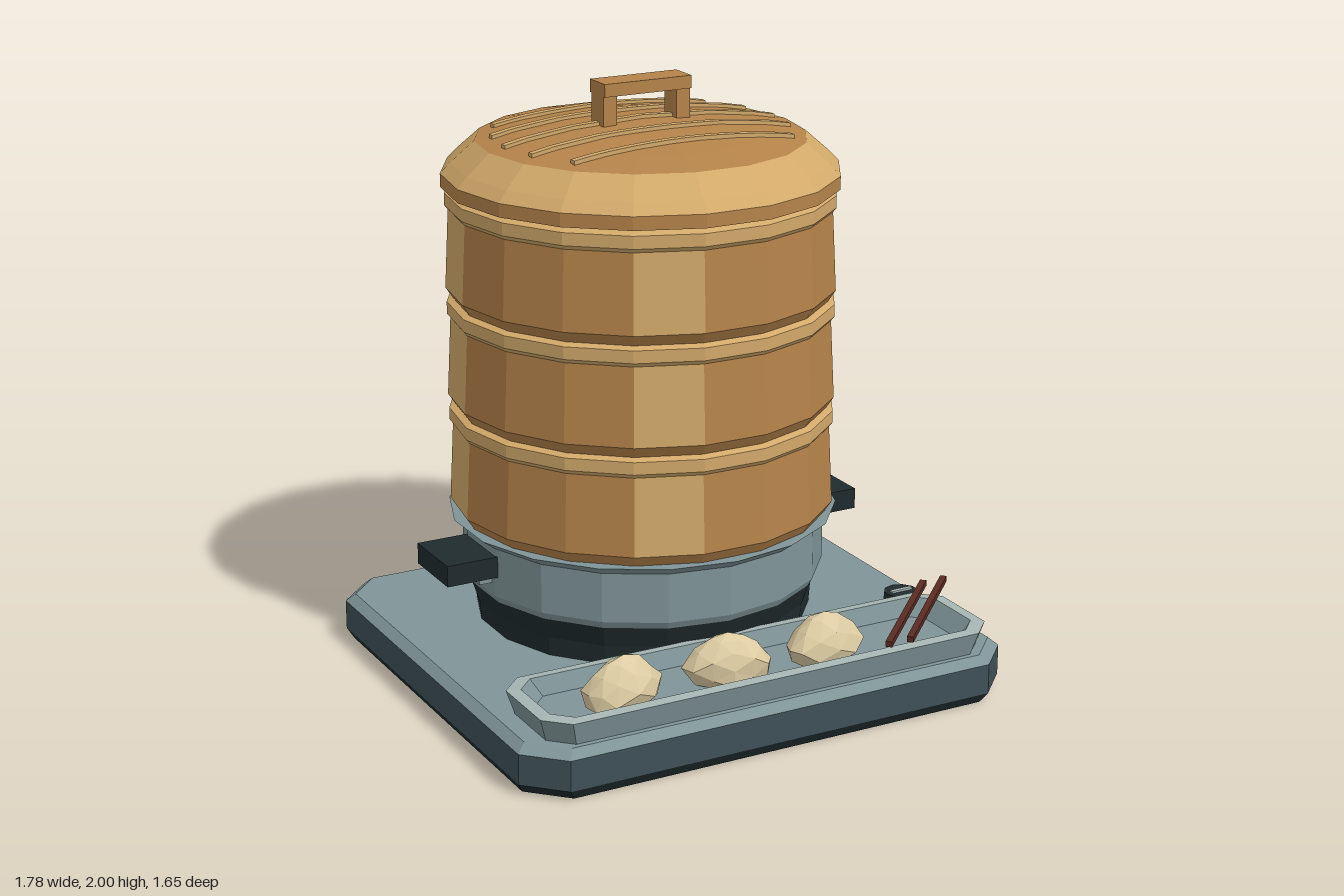
import * as THREE from 'three';
import { mergeGeometries } from 'three/addons/utils/BufferGeometryUtils.js';

const mat = (name, color) => {
  const m = new THREE.MeshStandardMaterial({ color, flatShading: true });
  m.name = name;
  return m;
};

export function createModel() {
  const wood = mat('bamboo', 0xb5834a);
  const paleWood = mat('pale bamboo', 0xd2a96a);
  const steel = mat('steel', 0x7f9497);
  const paleSteel = mat('pale steel', 0xa6b6b2);
  const slate = mat('slate', 0x3e5157);
  const black = mat('black', 0x1f2b2d);
  const dough = mat('dough', 0xdccba2);
  const lacquer = mat('lacquer', 0x5a2a22);

  const model = new THREE.Group();
  model.name = 'steamerSet';
  const steamer = new THREE.Group();
  steamer.name = 'steamer';
  steamer.position.z = -0.17;
  model.add(steamer);

  const add = (parent, name, geometry, material, x = 0, y = 0, z = 0) => {
    const mesh = new THREE.Mesh(geometry, material);
    mesh.name = name;
    mesh.position.set(x, y, z);
    parent.add(mesh);
    return mesh;
  };
  const box = (w, h, d) => new THREE.BoxGeometry(w, h, d);

  // Eighteen-sided turned part; profile of [radius, y] from bottom to top
  const STEP = Math.PI / 9;
  const turned = (profile, start = Math.PI / 2, sides = 18) =>
    new THREE.LatheGeometry(profile.map(p => new THREE.Vector2(...p)), sides, start, sides * STEP);

  // Skin over rectangles with cut corners, rings of [halfX, halfZ, cut, y]
  const loft = (rings, { floor = false, top = false } = {}) => {
    const pos = [], index = [];
    for (const [hx, hz, c, y] of rings) {
      for (const [x, z] of [[-hx + c, hz], [hx - c, hz], [hx, hz - c], [hx, -hz + c],
        [hx - c, -hz], [-hx + c, -hz], [-hx, -hz + c], [-hx, hz - c]]) pos.push(x, y, z);
    }
    for (let r = 0; r < rings.length - 1; r++) {
      for (let i = 0; i < 8; i++) {
        const a = r * 8 + i, b = r * 8 + (i + 1) % 8;
        index.push(a, b, b + 8, a, b + 8, a + 8);
      }
    }
    const last = (rings.length - 1) * 8;
    for (let i = 1; i < 7; i++) {
      if (floor) index.push(0, i + 1, i);
      if (top) index.push(last, last + i, last + i + 1);
    }
    const g = new THREE.BufferGeometry();
    g.setAttribute('position', new THREE.Float32BufferAttribute(pos, 3));
    g.setIndex(index);
    g.computeVertexNormals();
    return g;
  };

  // Base plate
  add(model, 'plateFoot', loft([[0.87, 0.8, 0.12, 0], [0.89, 0.82, 0.12, 0.035]], { floor: true }), black);
  add(model, 'plateBody', loft([[0.89, 0.82, 0.12, 0.035], [0.89, 0.82, 0.12, 0.138]]), slate);
  add(model, 'plateTop', loft([[0.89, 0.82, 0.12, 0.138], [0.86, 0.79, 0.11, 0.165]], { top: true }), steel);

  // Burner, pot and flange
  add(steamer, 'burner', turned([[0.575, 0.165], [0.58, 0.23], [0.605, 0.305]], 0), black);
  add(steamer, 'pot', turned([[0.605, 0.305], [0.618, 0.33], [0.618, 0.5], [0.662, 0.533], [0.6, 0.536]], 0), steel);
  for (const s of [-1, 1]) {
    add(steamer, 'potHandle', box(0.2, 0.073, 0.243), black, s * 0.685, 0.437, 0);
    add(steamer, 'handleBracket', box(0.08, 0.03, 0.17), steel, s * 0.615, 0.386, 0);
  }

  // Three stacked baskets; every fourth stave is pale
  for (let t = 0; t < 3; t++) {
    const basket = new THREE.Group();
    basket.name = 'basket';
    basket.position.y = 0.535 + t * 0.37;
    steamer.add(basket);
    const staves = [[], []];
    for (let i = 0; i < 18; i++) {
      staves[i % 4 === 0 ? 1 : 0].push(turned([[0.655, 0.038], [0.641, 0.306]], Math.PI / 2 + i * STEP, 1));
    }
    add(basket, 'basketFoot', turned([[0.6, 0], [0.63, 0], [0.655, 0.038]]), wood);
    add(basket, 'staves', mergeGeometries(staves[0]), wood);
    add(basket, 'paleStaves', mergeGeometries(staves[1]), paleWood);
    add(basket, 'hoop', turned([[0.638, 0.3], [0.652, 0.318], [0.652, 0.36], [0.63, 0.37], [0.59, 0.37]]), paleWood);
  }

  // Lid
  const dome = [[0.55, 1.806], [0.42, 1.832], [0.26, 1.853], [0, 1.865]];
  add(steamer, 'lidRim', turned([[0.6, 1.652], [0.664, 1.655], [0.664, 1.7]]), wood);
  add(steamer, 'lidShoulder', turned([[0.664, 1.7], [0.63, 1.735], [0.55, 1.806]]), paleWood);
  add(steamer, 'lidTop', turned(dome), wood);

  // Slats draped over the lid
  const domeY = r => {
    const i = r > 0.42 ? 0 : r > 0.26 ? 1 : 2;
    const [[r0, y0], [r1, y1]] = [dome[i], dome[i + 1]];
    return y0 + (y1 - y0) * (r - r0) / (r1 - r0);
  };
  [0.4, 0.475, 0.5, 0.475, 0.4].forEach((half, k) => {
    const z = (k - 2) * 0.149;
    const g = new THREE.BoxGeometry(half * 2, 0.024, 0.026, 12, 1, 1);
    const p = g.attributes.position;
    for (let i = 0; i < p.count; i++) p.setY(i, p.getY(i) + domeY(Math.hypot(p.getX(i), z)));
    add(steamer, 'lidSlat', g, paleWood, 0, 0, z);
  });

  // Lid handle
  add(steamer, 'lidHandleBar', box(0.32, 0.043, 0.106), wood, 0, 1.9785, 0);
  for (const s of [-1, 1]) add(steamer, 'lidHandleLeg', box(0.05, 0.11, 0.085), wood, s * 0.135, 1.905, 0);

  // Serving tray
  const tray = new THREE.Group();
  tray.name = 'tray';
  tray.position.set(0, 0, 0.59);
  model.add(tray);
  add(tray, 'trayWall', loft([[0.795, 0.18, 0.07, 0.16], [0.82, 0.2, 0.075, 0.243]]), steel);
  add(tray, 'trayRim', loft([[0.82, 0.2, 0.075, 0.243], [0.778, 0.163, 0.06, 0.247]]), paleSteel);
  add(tray, 'trayInside', loft([[0.778, 0.163, 0.06, 0.247], [0.73, 0.138, 0.045, 0.19]], { top: true }), steel);

  // Dumplings: faceted, pinched towards the top
  [[-0.485, 0.15], [-0.11, -0.2], [0.25, 0.12]].forEach(([x, turn], k) => {
    const g = new THREE.IcosahedronGeometry(1, 1);
    const p = g.attributes.position;
    for (let i = 0; i < p.count; i++) {
      const [a, b, c] = [p.getX(i), p.getY(i), p.getZ(i)];
      const n = 1 + 0.09 * Math.sin(a * 7 + b * 5 + c * 9 + k * 2.1);
      const pinch = b > 0 ? 1 - 0.3 * b : 1;
      p.setXYZ(i, a * n * pinch * 0.143, Math.max(b, -0.65) * 0.105, c * n * pinch * 0.085);
    }
    g.computeVertexNormals();
    add(model, 'dumpling', g, dough, x, 0.252, 0.622).rotation.y = turn;
  });

  // Chopsticks
  for (const dx of [0, 0.082]) {
    const from = new THREE.Vector3(0.403 + dx, 0.268, 0.775);
    const to = new THREE.Vector3(0.768 + dx, 0.287, 0.422);
    const stick = add(model, 'chopstick', box(0.022, 0.02, from.distanceTo(to)), lacquer);
    stick.position.copy(from).lerp(to, 0.5);
    stick.lookAt(to);
  }

  // Control knob
  add(model, 'knob', new THREE.CylinderGeometry(0.06, 0.065, 0.06, 10), black, 0.747, 0.195, 0.32);
  add(model, 'knobMark', box(0.08, 0.008, 0.016), paleSteel, 0.747, 0.228, 0.32);

  return model;
}
